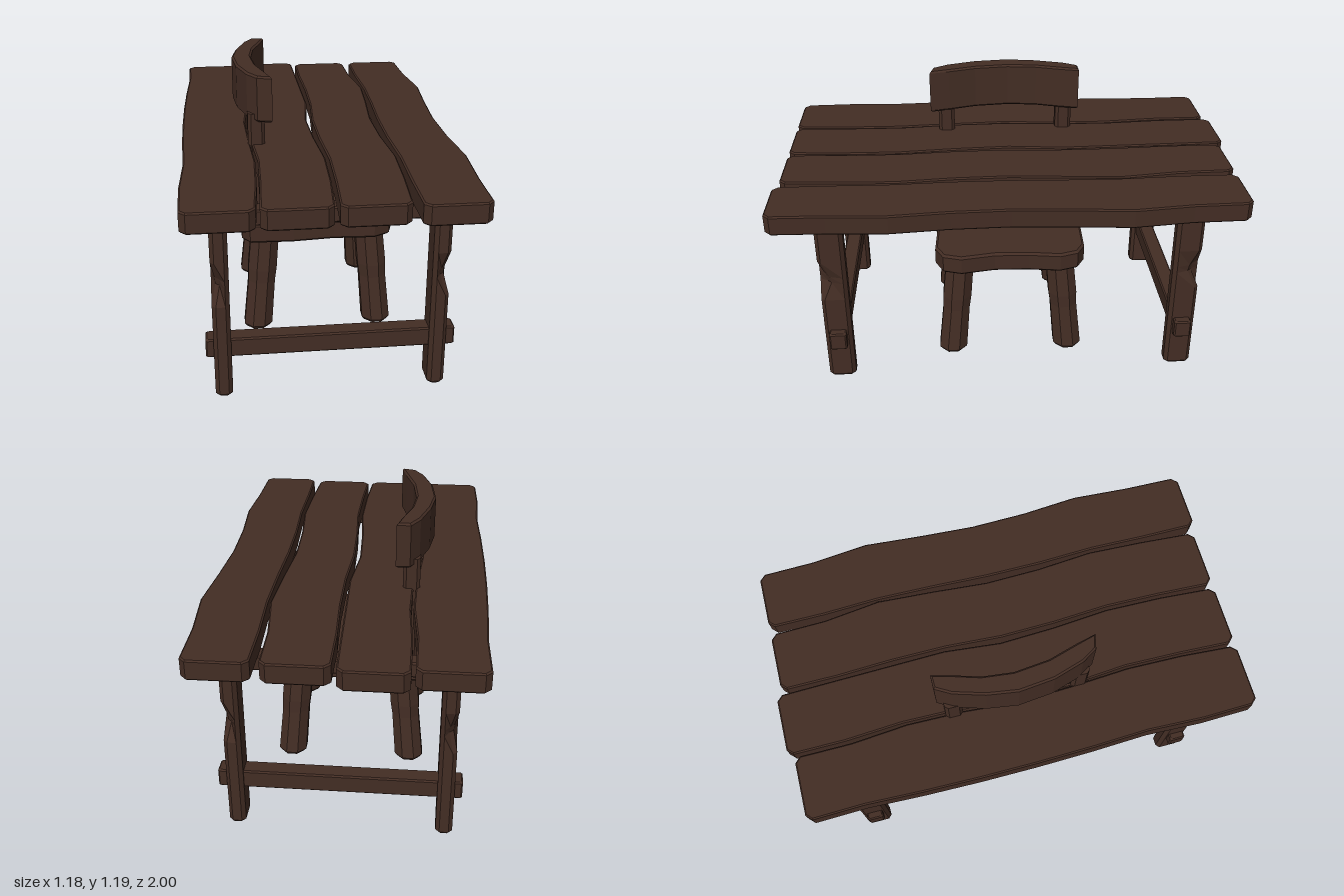
import * as THREE from 'three';

const wood = new THREE.MeshStandardMaterial({ color: 0x432d24, flatShading: true });
wood.name = 'dark wood';

function add(group, name, geometry) {
  const mesh = new THREE.Mesh(geometry, wood);
  mesh.name = name;
  group.add(mesh);
  return mesh;
}

// Flat board from an outline of [x, z] points, with slightly eased edges
function board(points, bottom, top, ease = 0.006) {
  const shape = new THREE.Shape(points.map(([x, z]) => new THREE.Vector2(x, z)));
  const g = new THREE.ExtrudeGeometry(shape, {
    depth: top - bottom - 2 * ease, bevelEnabled: true, bevelSegments: 1,
    bevelThickness: ease, bevelSize: ease, bevelOffset: -ease,
  });
  return g.rotateX(Math.PI / 2).translate(0, top - ease, 0);
}

// Closed solid through rings of [x, y, z] points, listed from bottom to top
function loft(rings) {
  const n = rings[0].length, index = [];
  for (let r = 0; r < rings.length - 1; r++) {
    for (let j = 0; j < n; j++) {
      const a = r * n + j, b = r * n + (j + 1) % n;
      index.push(a, a + n, b + n, a, b + n, b);
    }
  }
  const t = (rings.length - 1) * n;
  for (let j = 1; j < n - 1; j++) index.push(0, j, j + 1, t, t + j + 1, t + j);
  const g = new THREE.BufferGeometry();
  g.setAttribute('position', new THREE.Float32BufferAttribute(rings.flat(2), 3));
  g.setIndex(index);
  const flat = g.toNonIndexed();
  flat.computeVertexNormals();
  return flat;
}

// Rectangle with cut corners around (cx, cz)
function section(cx, y, cz, w, d, cut) {
  const x = w / 2, z = d / 2;
  return [[x, -z + cut], [x, z - cut], [x - cut, z], [-x + cut, z],
    [-x, z - cut], [-x, -z + cut], [-x + cut, -z], [x - cut, -z]]
    .map(([px, pz]) => [cx + px, y, cz + pz]);
}

// Beam with eased edges between two corners
function beam(x0, x1, y0, y1, z0, z1) {
  const cx = (x0 + x1) / 2, cz = (z0 + z1) / 2, w = x1 - x0, d = z1 - z0, e = 0.006;
  return loft([
    section(cx, y0, cz, w - 2 * e, d - 2 * e, e), section(cx, y0 + e, cz, w, d, e),
    section(cx, y1 - e, cz, w, d, e), section(cx, y1, cz, w - 2 * e, d - 2 * e, e),
  ]);
}

function buildTable() {
  const table = new THREE.Group();
  table.name = 'table';

  // Wavy planks: left and right edges sampled evenly from back to front
  const planks = [
    { z: [-0.975, 0.98], l: [-0.58, -0.575, -0.585, -0.59, -0.59, -0.585, -0.575, -0.585, -0.58], r: [-0.305, -0.305, -0.285, -0.29, -0.31, -0.30, -0.285, -0.29, -0.305] },
    { z: [-1, 0.98], l: [-0.29, -0.29, -0.275, -0.28, -0.30, -0.295, -0.275, -0.28, -0.29], r: [-0.02, -0.015, -0.01, -0.005, -0.03, -0.02, 0, -0.005, -0.02] },
    { z: [-0.975, 0.98], l: [0, 0, 0.01, 0.01, -0.005, 0, 0.015, 0.01, 0], r: [0.265, 0.27, 0.30, 0.285, 0.265, 0.27, 0.29, 0.28, 0.265] },
    { z: [-0.975, 1], l: [0.3, 0.3, 0.31, 0.305, 0.295, 0.295, 0.305, 0.3, 0.3], r: [0.56, 0.565, 0.59, 0.57, 0.555, 0.56, 0.58, 0.565, 0.56] },
  ];
  for (const { z: [z0, z1], l, r } of planks) {
    const c = 0.025, at = (i) => z0 + ((z1 - z0) * i) / 8;
    const left = l.map((x, i) => [x, i === 0 ? z0 + c : i === 8 ? z1 - c : at(i)]);
    const right = r.map((x, i) => [x, i === 0 ? z0 + c : i === 8 ? z1 - c : at(i)]);
    const outline = [[l[0] + c, z0], ...left, [l[8] + c, z1],
      [r[8] - c, z1], ...right.reverse(), [r[0] - c, z0]];
    add(table, 'topPlank', board(outline, 0.81, 0.895));
  }

  // Legs with a worn notch in the outer corner
  for (const [cx, sx] of [[-0.445, -1], [0.423, 1]]) {
    for (const [cz, sz] of [[0.767, 1], [-0.756, -1]]) {
      const levels = [[0.008, 0], [0.018, 0], [0.42, 0], [0.5, 0.035], [0.53, 0.03], [0.61, 0], [0.815, 0]];
      const rings = levels.map(([y, notch], i) => {
        const s = i === 0 ? 0.012 : 0;
        return section(cx, y, cz, 0.07 - s, 0.118 - s, 0.016).map(([x, py, z]) =>
          (x - cx) * sx > 0 && (z - cz) * sz > 0
            ? [x - sx * notch * 0.5, py, z - sz * notch] : [x, py, z]);
      });
      add(table, 'tableLeg', loft(rings));
    }
  }

  // Rails under the top, and low stretchers passing through the legs
  for (const z of [0.767, -0.756]) {
    add(table, 'endRail', beam(-0.42, 0.4, 0.75, 0.815, z - 0.035, z + 0.035));
    add(table, 'stretcher', beam(-0.512, 0.495, 0.18, 0.262, z - 0.037, z + 0.037));
  }
  for (const x of [-0.445, 0.423]) {
    add(table, 'sideRail', beam(x - 0.022, x + 0.022, 0.75, 0.815, -0.72, 0.73));
  }
  add(table, 'crossRail', beam(-0.44, 0.42, 0.755, 0.815, -0.035, 0.035));
  return table;
}

function buildChair() {
  const chair = new THREE.Group();
  chair.name = 'chair';

  // Seat with cut corners and uneven edges
  add(chair, 'seat', board([
    [-0.31, -0.335], [-0.1, -0.325], [0.08, -0.34], [0.25, -0.335], [0.31, -0.30],
    [0.335, -0.22], [0.315, -0.08], [0.31, 0.07], [0.335, 0.22], [0.31, 0.30],
    [0.24, 0.335], [0.06, 0.325], [-0.12, 0.34], [-0.31, 0.335], [-0.345, 0.29],
    [-0.35, 0.1], [-0.34, -0.1], [-0.35, -0.29],
  ], 0.445, 0.535, 0.01));

  // Splayed eight-sided legs
  const levels = [[0.005, 0.052, 0], [0.02, 0.063, 0.03], [0.23, 0.06, 0.5],
    [0.29, 0.064, 0.62], [0.46, 0.062, 1]];
  for (const sx of [-1, 1]) {
    for (const sz of [-1, 1]) {
      const rings = levels.map(([y, r, t]) => {
        const cx = sx * (sx < 0 ? 0.283 - 0.042 * t : 0.263 - 0.036 * t);
        const cz = sz * (0.268 - 0.042 * t);
        return section(cx, y, cz, 2 * r, 2 * r, r * 0.586);
      });
      add(chair, 'chairLeg', loft(rings));
    }
  }

  // Back posts
  for (const z of [0.268, -0.282]) {
    const rings = [0.46, 1.03].map((y) => section(-0.27, y, z, 0.072, 0.074, 0.014));
    add(chair, 'backPost', loft(rings));
  }

  // Curved back rest
  const outer = [[-0.262, -0.345], [-0.30, -0.28], [-0.34, -0.15], [-0.36, -0.02],
    [-0.345, 0.13], [-0.305, 0.26], [-0.265, 0.325]];
  const inner = [[-0.203, 0.34], [-0.225, 0.25], [-0.26, 0.13], [-0.275, -0.02],
    [-0.26, -0.15], [-0.225, -0.26], [-0.203, -0.345]];
  add(chair, 'backRest', board([...outer, ...inner], 1.0, 1.197, 0.008));
  return chair;
}

export function createModel() {
  const model = new THREE.Group();
  model.name = 'tableAndChair';
  model.add(buildTable(), buildChair());
  return model;
}
